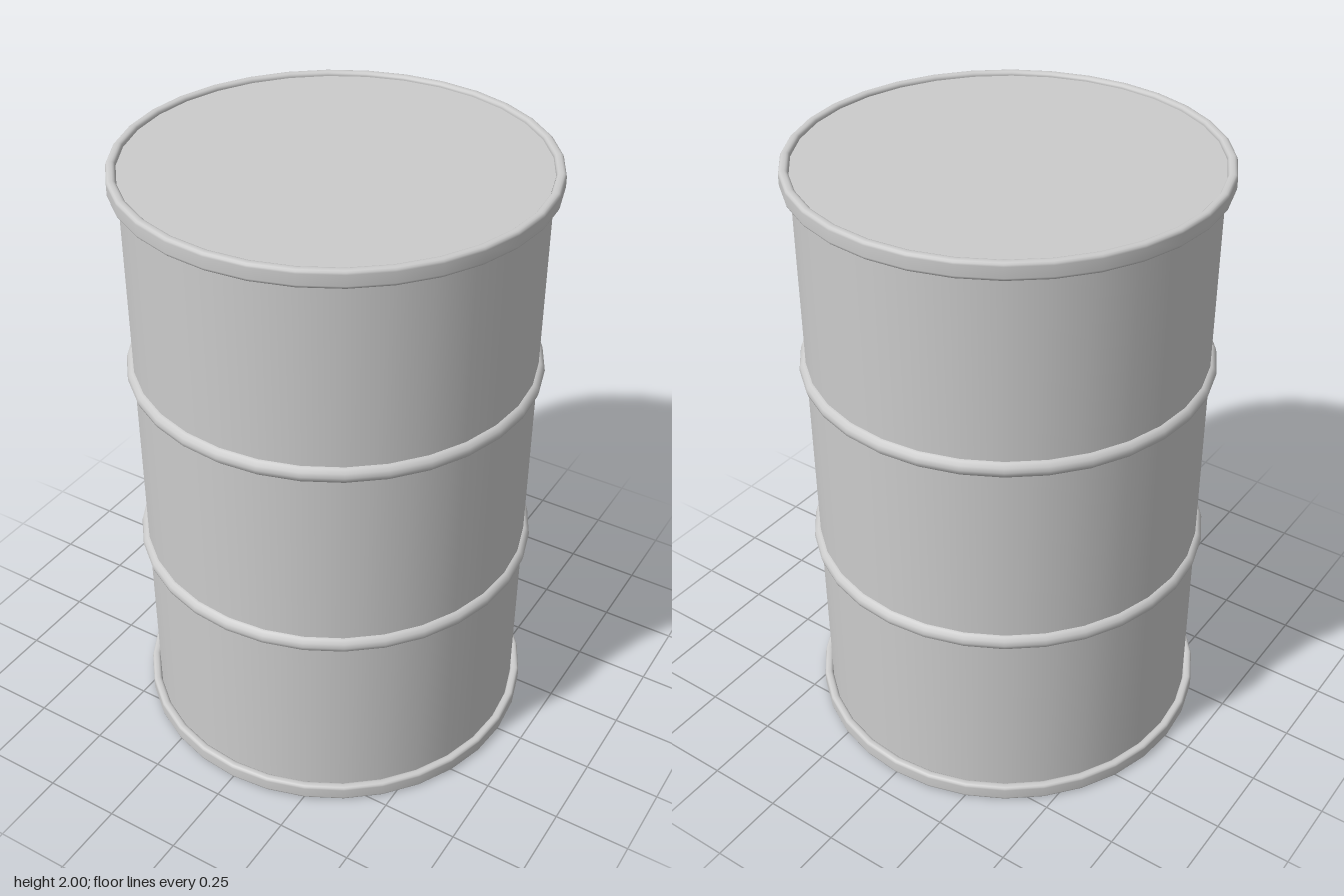
import * as THREE from 'three';

const SIDES = 32;
const BODY_R = 0.635;

export function createModel() {
  const drum = new THREE.Group();
  drum.name = 'drum';
  const material = new THREE.MeshStandardMaterial({ color: 0xcccccc });

  const add = (name, geometry, y) => {
    const mesh = new THREE.Mesh(geometry, material);
    mesh.name = name;
    mesh.position.y = y;
    drum.add(mesh);
  };

  // Cylindrical shell with lids set just inside the rims
  add('body', new THREE.CylinderGeometry(BODY_R, BODY_R, 1.974, SIDES), 1);

  // Rolled rims: a rounded rectangle swept around the axis
  const inner = 0.636, outer = 0.665, half = 0.0275, round = 0.011;
  const profile = [];
  const corners = [
    [outer - round, -half + round, -90],
    [outer - round, half - round, 0],
    [inner + round, half - round, 90],
    [inner + round, -half + round, 180],
  ];
  for (const [cx, cy, start] of corners) {
    for (let i = 0; i <= 3; i++) {
      const a = THREE.MathUtils.degToRad(start + i * 30);
      profile.push(new THREE.Vector2(cx + round * Math.cos(a), cy + round * Math.sin(a)));
    }
  }
  profile.push(profile[0].clone());
  const rim = new THREE.LatheGeometry(profile, SIDES);
  add('bottomRim', rim, half);
  add('topRim', rim, 2 - half);

  // Rolling hoops around the middle
  const hoop = new THREE.TorusGeometry(0.629, 0.027, 12, SIDES).rotateX(Math.PI / 2);
  add('lowerHoop', hoop, 0.677);
  add('upperHoop', hoop, 1.331);

  return drum;
}
